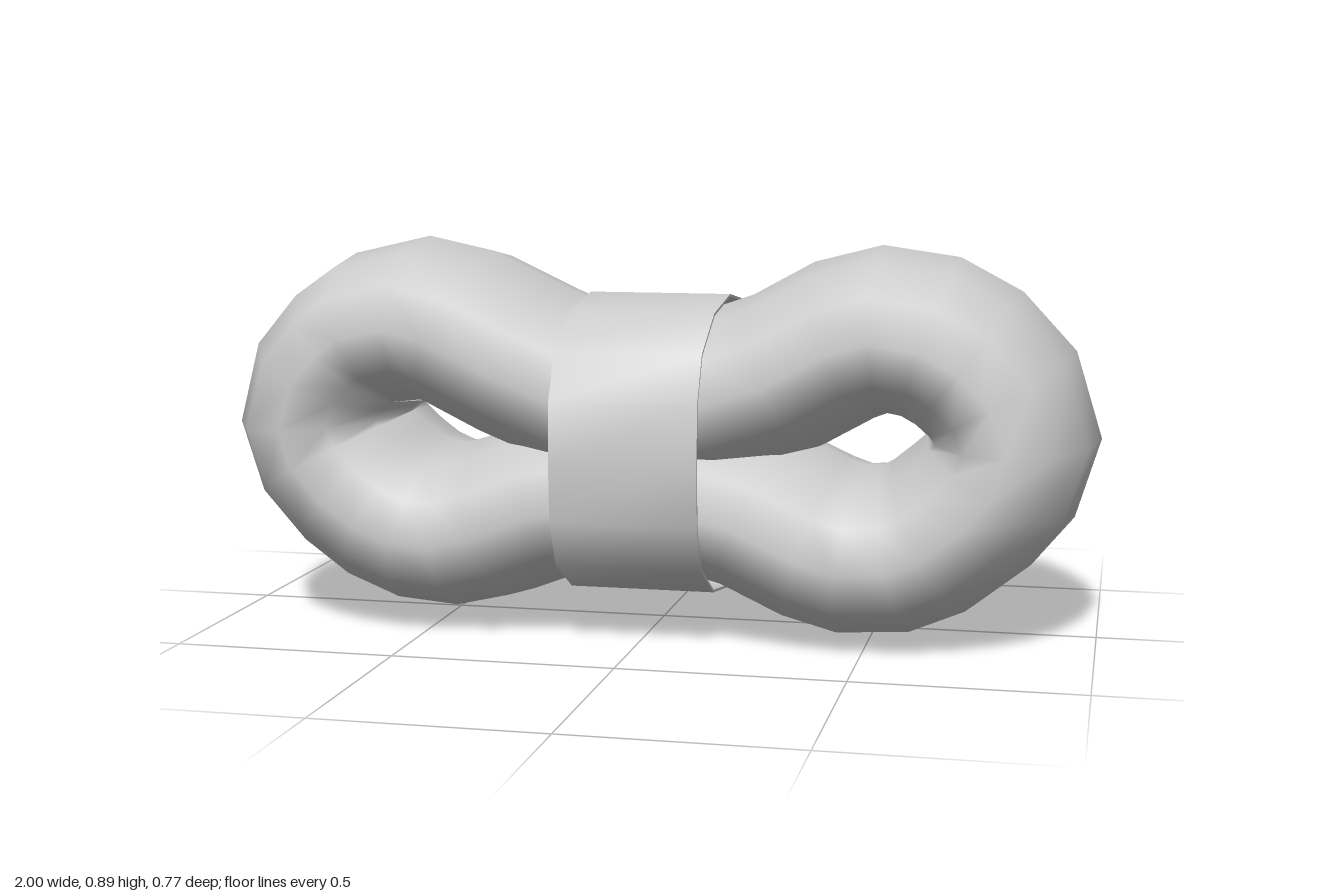
import * as THREE from 'three';
import { toCreasedNormals } from 'three/addons/utils/BufferGeometryUtils.js';

const SIDES = 12, RADIUS = 0.19, HALF_DEPTH = 0.362;

// Outer edge of the folded loop, counter-clockwise from the top middle
const outline = [
  [-0.01, 0.72], [-0.12, 0.73], [-0.25, 0.785], [-0.41, 0.86], [-0.565, 0.893], [-0.75, 0.85],
  [-0.85, 0.78], [-0.95, 0.66], [-1, 0.465], [-0.945, 0.29], [-0.84, 0.17],
  [-0.73, 0.09], [-0.6, 0.038], [-0.45, 0.025], [-0.32, 0.055], [-0.18, 0.108],
  [-0.01, 0.15], [0.16, 0.105], [0.3, 0.04], [0.43, 0.005], [0.6, 0.015],
  [0.73, 0.07], [0.85, 0.165], [0.945, 0.28], [1, 0.46], [0.94, 0.655],
  [0.82, 0.785], [0.68, 0.86], [0.505, 0.885], [0.35, 0.845], [0.21, 0.768], [0.1, 0.73],
];

// Closed sweep of an elliptical section whose outer rim follows the outline
function loopGeometry() {
  const pos = [], index = [], n = outline.length;
  outline.forEach(([x, y], i) => {
    const prev = outline[(i + n - 1) % n], next = outline[(i + 1) % n];
    const inDir = new THREE.Vector2(x - prev[0], y - prev[1]).normalize();
    const outDir = new THREE.Vector2(next[0] - x, next[1] - y).normalize();
    const t = inDir.add(outDir).normalize();
    const normal = [t.y, -t.x];
    for (let j = 0; j < SIDES; j++) {
      const a = (j / SIDES) * Math.PI * 2;
      const r = RADIUS * (Math.cos(a) - 1);
      pos.push(x + normal[0] * r, y + normal[1] * r, HALF_DEPTH * Math.sin(a));
      const k = (j + 1) % SIDES, m = (i + 1) % n;
      const p = i * SIDES + j, q = i * SIDES + k, s = m * SIDES + j, u = m * SIDES + k;
      index.push(p, s, q, q, s, u);
    }
  });
  const g = new THREE.BufferGeometry();
  g.setAttribute('position', new THREE.Float32BufferAttribute(pos, 3));
  g.setIndex(index);
  g.computeVertexNormals();
  return g;
}

// Stadium-like band section: two half ellipses joined by nearly straight sides
function bandPoints(inset) {
  const rz = 0.377 - inset, ry = 0.208 - inset, pts = [];
  for (const [cy, start] of [[0.56, 0], [0.29, Math.PI]]) {
    for (let i = 0; i <= 6; i++) {
      const a = start + (i / 6) * Math.PI;
      pts.push(new THREE.Vector2(rz * Math.cos(a), cy + ry * Math.sin(a)));
    }
    const side = start === 0 ? -1 : 1;
    pts.push(new THREE.Vector2(side * (rz + 0.006), 0.425));
  }
  return pts;
}

function bandGeometry() {
  const shape = new THREE.Shape(bandPoints(0));
  shape.holes.push(new THREE.Path(bandPoints(0.006)));
  const width = 0.33;
  const g = new THREE.ExtrudeGeometry(shape, { depth: width, bevelEnabled: false });
  g.translate(0, 0, -width / 2).rotateY(Math.PI / 2).translate(-0.01, 0, 0);
  return toCreasedNormals(g, 0.9);
}

export function createModel() {
  const grey = new THREE.MeshStandardMaterial({ color: 0xcccccc });
  grey.name = 'grey';
  const model = new THREE.Group();
  model.name = 'foldedLoopWithBand';
  const parts = { foldedLoop: loopGeometry(), centerBand: bandGeometry() };
  for (const [name, geometry] of Object.entries(parts)) {
    const mesh = new THREE.Mesh(geometry, grey);
    mesh.name = name;
    model.add(mesh);
  }
  return model;
}
